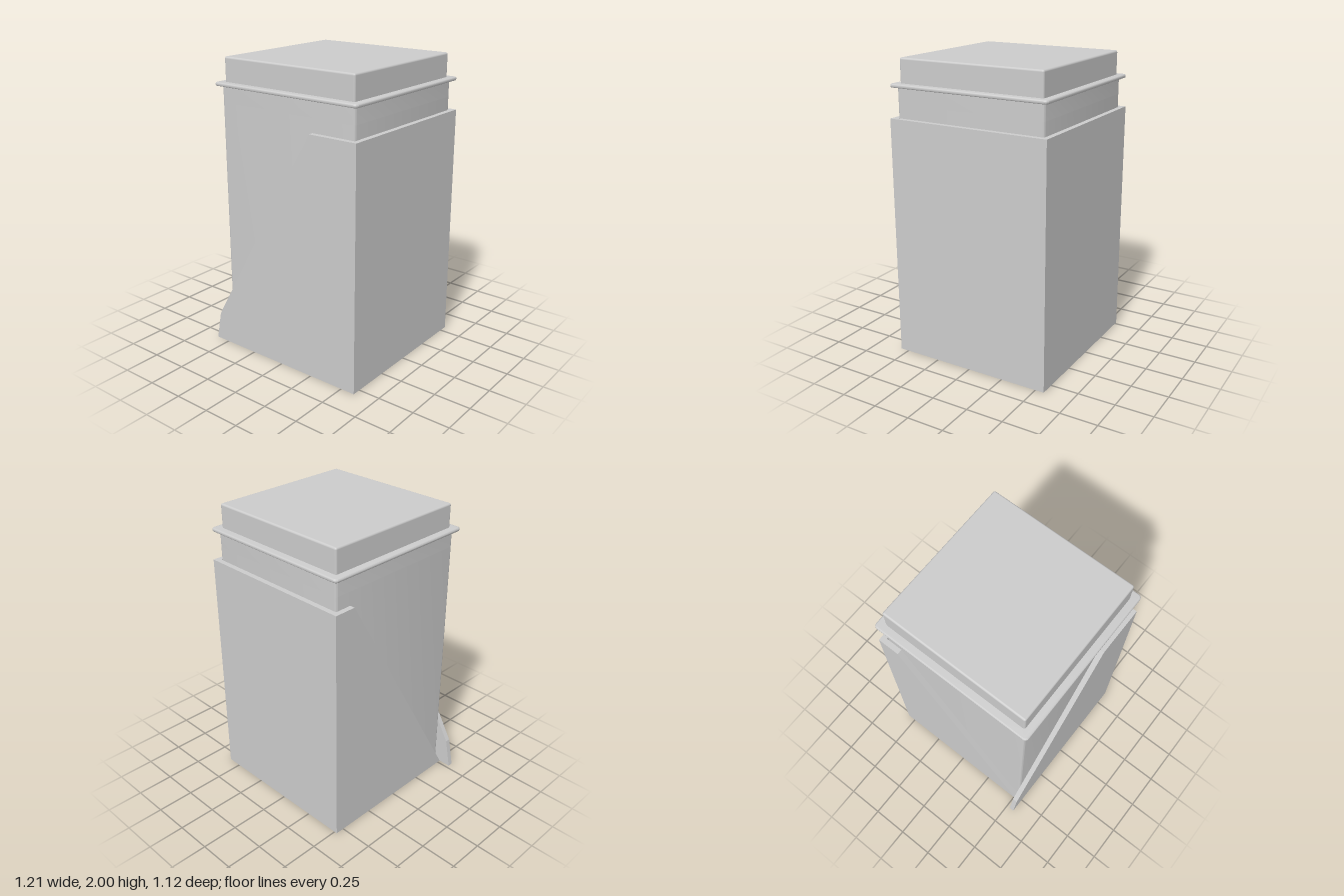
import * as THREE from 'three';
import { toCreasedNormals } from 'three/addons/utils/BufferGeometryUtils.js';
import { RoundedBoxGeometry } from 'three/addons/geometries/RoundedBoxGeometry.js';

const CX = 0.04;       // the container sits beside the projecting foot
const OUTER = 1.12;    // sleeve and rim width
const WALL = 0.035;    // sleeve wall thickness
const SLEEVE_TOP = 1.62;

const grey = new THREE.MeshStandardMaterial({ color: 0xcccccc });
const pale = new THREE.MeshStandardMaterial({ color: 0xeeeeee });

function addPart(group, name, geometry, material = grey) {
  const mesh = new THREE.Mesh(geometry, material);
  mesh.name = name;
  group.add(mesh);
  return mesh;
}

// Square slab with rounded corners between two heights, optionally bevelled
function slab(width, y0, y1, radius, bevel = 0) {
  const h = width / 2 - bevel;
  const r = radius - bevel;
  const s = new THREE.Shape();
  s.absarc(h - r, h - r, r, 0, Math.PI / 2);
  s.absarc(-h + r, h - r, r, Math.PI / 2, Math.PI);
  s.absarc(-h + r, -h + r, r, Math.PI, Math.PI * 1.5);
  s.absarc(h - r, -h + r, r, Math.PI * 1.5, Math.PI * 2);
  const geometry = new THREE.ExtrudeGeometry(s, {
    depth: y1 - y0 - 2 * bevel, curveSegments: 5,
    bevelEnabled: bevel > 0, bevelSize: bevel, bevelThickness: bevel, bevelSegments: 3,
  });
  geometry.rotateX(-Math.PI / 2).translate(CX, y0 + bevel, 0);
  return toCreasedNormals(geometry, 0.7);
}

// Flat panel cut from an outline
function panel(points) {
  const shape = new THREE.Shape(points.map(([x, y]) => new THREE.Vector2(x, y)));
  return new THREE.ExtrudeGeometry(shape, { depth: WALL, bevelEnabled: false });
}

export function createModel() {
  const model = new THREE.Group();
  model.name = 'container';
  const half = OUTER / 2;
  const xMin = CX - half;
  const xMax = CX + half;

  // Inner container with a pale band below the lid
  addPart(model, 'innerBody', slab(OUTER - 2 * WALL, 0.02, 1.71, 0.02));
  addPart(model, 'paleBand', slab(OUTER - 2 * WALL, 1.71, 1.825, 0.02), pale);

  // Lid: thin projecting rim and raised cap
  addPart(model, 'lidRim', slab(OUTER, 1.816, 1.84, 0.025, 0.009));
  const cap = addPart(model, 'lidCap', new RoundedBoxGeometry(1.02, 0.18, 1.02, 3, 0.013));
  cap.position.set(CX, 1.91, 0);

  // Sleeve: two full walls and two diagonally cut ones
  const sleeve = new THREE.Group();
  sleeve.name = 'sleeve';
  model.add(sleeve);

  const back = addPart(sleeve, 'backWall', new THREE.BoxGeometry(OUTER, SLEEVE_TOP, WALL));
  back.position.set(CX, SLEEVE_TOP / 2, -half + WALL / 2);

  const left = addPart(sleeve, 'leftWall', new THREE.BoxGeometry(WALL, SLEEVE_TOP, OUTER - 2 * WALL));
  left.position.set(xMax - WALL / 2, SLEEVE_TOP / 2, 0);

  const front = addPart(sleeve, 'frontWall', panel([
    [-0.605, 0], [xMax, 0], [xMax, SLEEVE_TOP], [0.255, SLEEVE_TOP], [-0.565, 0.2],
  ]));
  front.position.z = half - WALL;

  // Outline drawn along z, then turned to face sideways
  const right = addPart(sleeve, 'rightWall', panel([
    [-half + WALL, 0], [half - WALL, 0], [-0.41, SLEEVE_TOP], [-half + WALL, SLEEVE_TOP],
  ]));
  right.rotation.y = -Math.PI / 2;
  right.position.x = xMin + WALL;

  return model;
}
